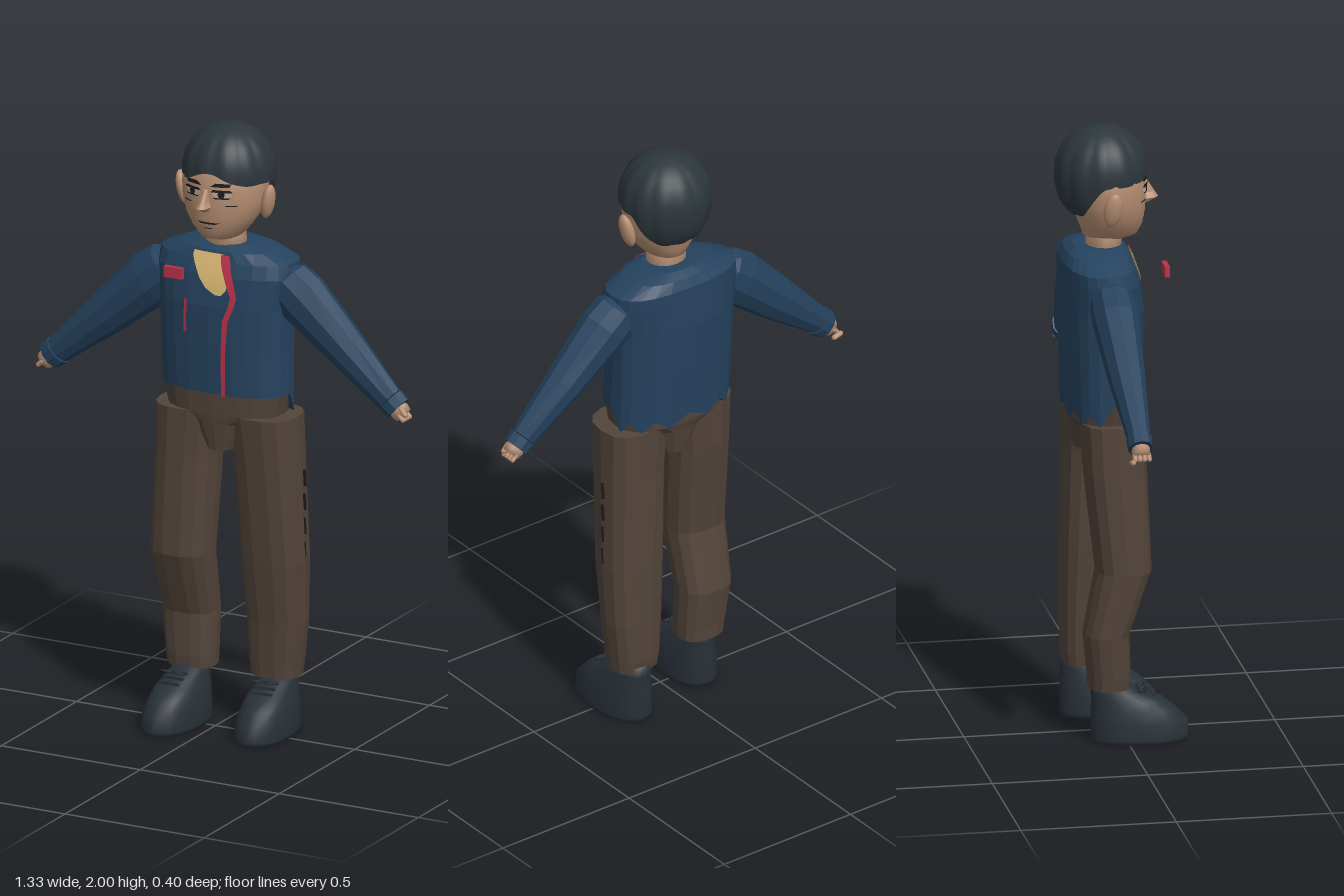
import * as THREE from 'three';

const mat = (name, color, side = THREE.FrontSide) => {
  const m = new THREE.MeshStandardMaterial({ color, side });
  m.name = name;
  return m;
};

// Signed power, used for rounded-box cross-sections
const pw = (v, p) => Math.sign(v) * Math.pow(Math.abs(v), p);

// Grid of points to an indexed geometry; wrap closes each row, caps close the ends
function grid(rows, wrap, caps) {
  const n = rows[0].length, pos = rows.flat(2), idx = [];
  for (let r = 0; r < rows.length - 1; r++)
    for (let i = 0; i < (wrap ? n : n - 1); i++) {
      const j = (i + 1) % n, a = r * n + i, b = r * n + j;
      idx.push(a, a + n, b, b, a + n, b + n);
    }
  if (caps) [0, rows.length - 1].forEach((r, end) => {
    const c = pos.length / 3;
    for (let k = 0; k < 3; k++) pos.push(rows[r].reduce((s, q) => s + q[k], 0) / n);
    for (let i = 0; i < n; i++) {
      const a = r * n + i, b = r * n + (i + 1) % n;
      idx.push(...(end ? [a, c, b] : [a, b, c]));
    }
  });
  const g = new THREE.BufferGeometry();
  g.setAttribute('position', new THREE.Float32BufferAttribute(pos, 3));
  g.setIndex(idx);
  g.computeVertexNormals();
  return g;
}

const flat = (g) => {
  const f = g.toNonIndexed();
  f.computeVertexNormals();
  return f;
};

// Loft through rings [x, y, z, rx, rz] lying square to the direction (dx, dy)
function loft(rings, n, { p = 1, dir = [0, 1], edit } = {}) {
  const l = Math.hypot(...dir), ux = dir[1] / l, uy = -dir[0] / l;
  const rows = rings.map(([x, y, z, ru, rz], r) => Array.from({ length: n }, (_, i) => {
    const a = (i / n) * Math.PI * 2;
    const c = pw(Math.cos(a), p) * ru, s = pw(Math.sin(a), p) * rz;
    const q = [x + ux * c, y + uy * c, z + s];
    if (edit) edit(q, r, i);
    return q;
  }));
  return grid(rows, true, true);
}

// Front z of an upright loft at (x, y)
function frontZ(rings, p, x, y) {
  let k = 0;
  while (k < rings.length - 2 && rings[k + 1][1] < y) k++;
  const a = rings[k], b = rings[k + 1];
  const t = Math.min(1, Math.max(0, (y - a[1]) / (b[1] - a[1])));
  const [cx, , cz, rx, rz] = a.map((v, i) => v + (b[i] - v) * t);
  const d = Math.min(1, Math.abs((x - cx) / rx));
  return cz + rz * Math.pow(1 - Math.pow(d, 2 / p), p / 2);
}

// Thin sheet on a loft's front; rows [y, x0, x1] go upward
function patch(rings, p, rows, off) {
  return grid(rows.map(([y, x0, x1]) => [0, 1, 2, 3, 4].map((i) => {
    const x = x1 + (x0 - x1) * i / 4;
    return [x, y, frontZ(rings, p, x, y) + off];
  })), false, false);
}

export function createModel() {
  const root = new THREE.Group();
  root.name = 'figure';
  const D = THREE.DoubleSide;
  const skin = mat('skin', 0xb58e72), hairM = mat('hair', 0x2c363c, D);
  const blue = mat('sweaterBlue', 0x25425e), brown = mat('trouserBrown', 0x52443a);
  const shoeM = mat('shoeDark', 0x283138), red = mat('red', 0xb8324a, D);
  const yellow = mat('yellow', 0xdab873, D), dark = mat('dark', 0x1d1a1a, D);
  const white = mat('eyeWhite', 0xb9aaa0, D);
  const add = (name, geo, m, parent = root) => {
    const o = new THREE.Mesh(geo, m);
    o.name = name;
    parent.add(o);
    return o;
  };
  const box = (name, m, [x, y, z], s, rot = [0, 0, 0]) => {
    const o = add(name, new THREE.BoxGeometry(...s), m);
    o.position.set(x, y, z);
    o.rotation.set(...rot);
    return o;
  };

  // Sweater body with a jagged hem at the back
  const torso = [[.017, 1.13, -.055, .22, .122], [.012, 1.28, -.058, .221, .128], [.01, 1.42, -.06, .225, .131],
    [.014, 1.52, -.066, .24, .122], [.015, 1.565, -.074, .235, .113], [.015, 1.595, -.072, .165, .1], [.013, 1.612, -.07, .09, .075]];
  add('sweater', flat(loft(torso, 24, { p: .8, edit: (q, r, i) => {
    if (r === 0 && i > 12) q[1] = (i % 2 ? 1.062 : 1.095);
  } })), blue);

  // Trousers: hips and two legs, the right one stepping forward
  add('hips', flat(loft([[.03, .94, -.045, .055, .1], [.025, 1.03, -.05, .11, .112], [.018, 1.06, -.053, .2, .117],
    [.017, 1.135, -.054, .217, .119]], 20, { p: .8 })), brown);
  const legs = {
    right: [[-.11, .18, -.055, .08, .066], [-.112, .22, -.055, .084, .068], [-.12, .36, -.065, .092, .072],
      [-.121, .57, -.01, .101, .088], [-.113, .9, -.035, .103, .1], [-.105, 1.06, -.04, .111, .105]],
    left: [[.175, .18, -.085, .082, .066], [.175, .22, -.087, .086, .07], [.179, .36, -.085, .098, .075],
      [.177, .57, -.072, .108, .088], [.166, .9, -.055, .11, .1], [.155, 1.06, -.048, .117, .108]],
  };
  for (const side in legs) add(side + 'TrouserLeg', flat(loft(legs[side], 14, { p: .78 })), brown);
  for (let i = 0; i < 4; i++) box('legSeam', dark, [.282 - i * .0005, .85 - i * .08, -.073], [.008, .055, .006], [.1, 0, 0]);

  // Shoes with laces
  for (const [side, x, z, turn] of [['right', -.113, 0, -.06], ['left', .184, -.048, .04]]) {
    const shoe = new THREE.Group();
    shoe.name = side + 'Shoe';
    shoe.position.set(x, 0, z);
    shoe.rotation.y = turn;
    root.add(shoe);
    add('shoeBody', loft([[0, 0, .045, .081, .152], [0, .015, .045, .085, .156], [0, .065, .042, .083, .154],
      [0, .105, .023, .076, .135], [0, .135, .005, .068, .115], [0, .165, -.035, .057, .077], [0, .2, -.055, .05, .057]], 20, { p: .9 }), shoeM, shoe);
    for (let i = 0; i < 3; i++) {
      const lace = add('lace', new THREE.BoxGeometry(.07, .008, .01), shoeM, shoe);
      lace.position.set(0, .172 - i * .012, .04 + i * .024);
    }
    for (const s of [-1, 1]) {
      const bow = add('laceBow', new THREE.TorusGeometry(.016, .004, 5, 10), shoeM, shoe);
      bow.position.set(s * .024 - .01, .172, .05);
      bow.rotation.x = 1.2;
    }
  }

  // Arms, cuffs and hands
  const arms = [
    ['left', [.75, -.7], [[.17, 1.51, -.068, .055, .05], [.22, 1.497, -.07, .085, .07], [.275, 1.452, -.07, .092, .073],
      [.436, 1.305, -.07, .069, .058], [.59, 1.163, -.066, .048, .036]], [.612, 1.145, -.066]],
    ['right', [-.76, -.68], [[-.14, 1.51, -.062, .055, .05], [-.2, 1.485, -.062, .085, .07], [-.26, 1.437, -.06, .092, .073],
      [-.417, 1.298, -.053, .073, .059], [-.59, 1.148, -.045, .046, .037]], [-.61, 1.13, -.045]],
  ];
  for (const [side, dir, rings, [x, y, z]] of arms) {
    add(side + 'Sleeve', flat(loft(rings, 10, { dir })), blue);
    const l = Math.hypot(...dir), dx = dir[0] / l, dy = dir[1] / l, s = Math.sign(dx);
    const along = (t, ru, rz) => [x + dx * t, y + dy * t, z, ru, rz];
    add(side + 'Cuff', flat(loft([along(-.025, .05, .041), along(.012, .047, .039)], 10, { dir })), blue);
    add(side + 'Palm', loft([along(-.005, .025, .026), along(.02, .034, .03), along(.04, .03, .027)], 10, { dir }), skin);
    for (let i = 0; i < 4; i++) {
      const f = add(side + 'Finger', new THREE.CapsuleGeometry(.008, .018, 3, 8), skin);
      f.position.set(x + dx * .044, y + dy * .044, z - .022 + i * .015);
      f.rotation.z = Math.atan2(dy, dx) + Math.PI / 2;
    }
    const thumb = add(side + 'Thumb', new THREE.CapsuleGeometry(.009, .025, 3, 8), skin);
    thumb.position.set(x + s * .036, y - (s < 0 ? .045 : .01), z + (s < 0 ? -.03 : .018));
    thumb.rotation.z = s < 0 ? 1.3 : .7;
  }

  // Chest panel, stripe and badge
  const chest = (name, rows, m, off = .006) => add(name, patch(torso, .8, rows, off), m);
  chest('collarPanel', [[1.462, .035, .055], [1.48, 0, .072], [1.51, -.025, .078], [1.55, -.048, .072], [1.575, -.06, .06], [1.59, -.058, .045]], yellow);
  chest('frontStripe', [[1.13, .06, .074], [1.28, .06, .076], [1.38, .064, .084], [1.43, .084, .104], [1.46, .09, .11],
    [1.5, .072, .1], [1.54, .055, .085], [1.565, .045, .078], [1.588, .04, .07]], red, .009);
  chest('pocketLine', [[1.325, -.076, -.066], [1.38, -.076, -.066], [1.435, -.076, -.066]], red);
  box('badge', red, [-.078, 1.54, .135], [.065, .036, .016]);

  // Head, neck and ears
  add('neck', loft([[.013, 1.58, -.05, .07, .06], [.013, 1.68, -.045, .063, .055]], 16), skin);
  const head = [[.012, 1.628, -.04, .04, .05], [.012, 1.645, -.028, .068, .088], [.012, 1.675, -.026, .094, .1], [.013, 1.715, -.03, .121, .112],
    [.014, 1.76, -.035, .136, .119], [.015, 1.81, -.04, .142, .124], [.016, 1.86, -.047, .138, .124], [.018, 1.92, -.055, .1, .095]];
  add('head', loft(head, 28), skin);
  for (const s of [-1, 1]) {
    const ear = add(s > 0 ? 'leftEar' : 'rightEar', new THREE.SphereGeometry(1, 14, 10), skin);
    ear.scale.set(.02, .06, .03);
    ear.position.set(.013 + s * .152, 1.762, -.045);
    ear.rotation.set(.12, 0, -s * .2);
  }
  add('nose', flat(loft([[.006, 1.742, .082, .014, .014], [.006, 1.758, .088, .023, .038], [.008, 1.775, .085, .014, .03],
    [.01, 1.815, .078, .009, .012]], 8)), skin);

  // Eyes, brows, cheek marks and mouth
  const face = (name, rows, m, off = .004) => add(name, patch(head, 1, rows, off), m);
  for (const [s, c] of [[-1, -.04], [1, .064]]) {
    face('eyeWhite', [[1.793, c - .02, c + .02], [1.803, c - .031, c + .031], [1.814, c - .024, c + .024]], white);
    face('iris', [[1.792, c - .006, c + .006], [1.803, c - .011, c + .011], [1.815, c - .008, c + .008]], dark, .006);
    face('upperLid', [[1.811, c - .034, c + .034], [1.819, c - .026, c + .026]], dark, .007);
    face('lowerLid', [[1.789, c - .022, c + .022], [1.793, c - .026, c + .026]], dark, .006);
    face('brow', [[1.828, c - .03 - s * .006, c + .03 - s * .006], [1.84, c - .024 + s * .005, c + .024 + s * .005]], dark, .007);
    const k = s > 0 ? .092 : -.063;
    face('cheekMark', [[1.764, k - .014, k + .014], [1.768, k - .018, k + .018]], dark);
  }
  face('mouth', [[1.7, -.01, .04], [1.706, -.022, .056]], dark);
  face('lowerLip', [[1.684, .005, .03], [1.687, .003, .032]], dark);

  // Lobed hair cap, short over the brow and long at the nape
  const rim = (a) => {
    const f = Math.sin(a);
    return 1.83 + .04 * Math.max(0, f) ** 8 - .108 * THREE.MathUtils.smoothstep(-f, .02, .75);
  };
  const n = 72, hairRows = [];
  for (let r = 0; r <= 14; r++) hairRows.push(Array.from({ length: n }, (_, i) => {
    const a = (i / n) * Math.PI * 2, t = 1 - r / 14;
    const phi = t * Math.acos((rim(a) - 1.85) / .15);
    const lobe = .965 + .045 * Math.abs(Math.sin(a * 6 + .3 + t * .5)) * Math.min(1, t * 2);
    const rad = (phi > Math.PI / 2 ? Math.sqrt(Math.sin(phi)) : Math.sin(phi) ** .9) * lobe;
    return [.021 + .15 * rad * Math.cos(a), 1.85 + .15 * Math.cos(phi), -.055 + .148 * rad * Math.sin(a)];
  }));
  add('hair', grid(hairRows, true, false), hairM);
  return root;
}
